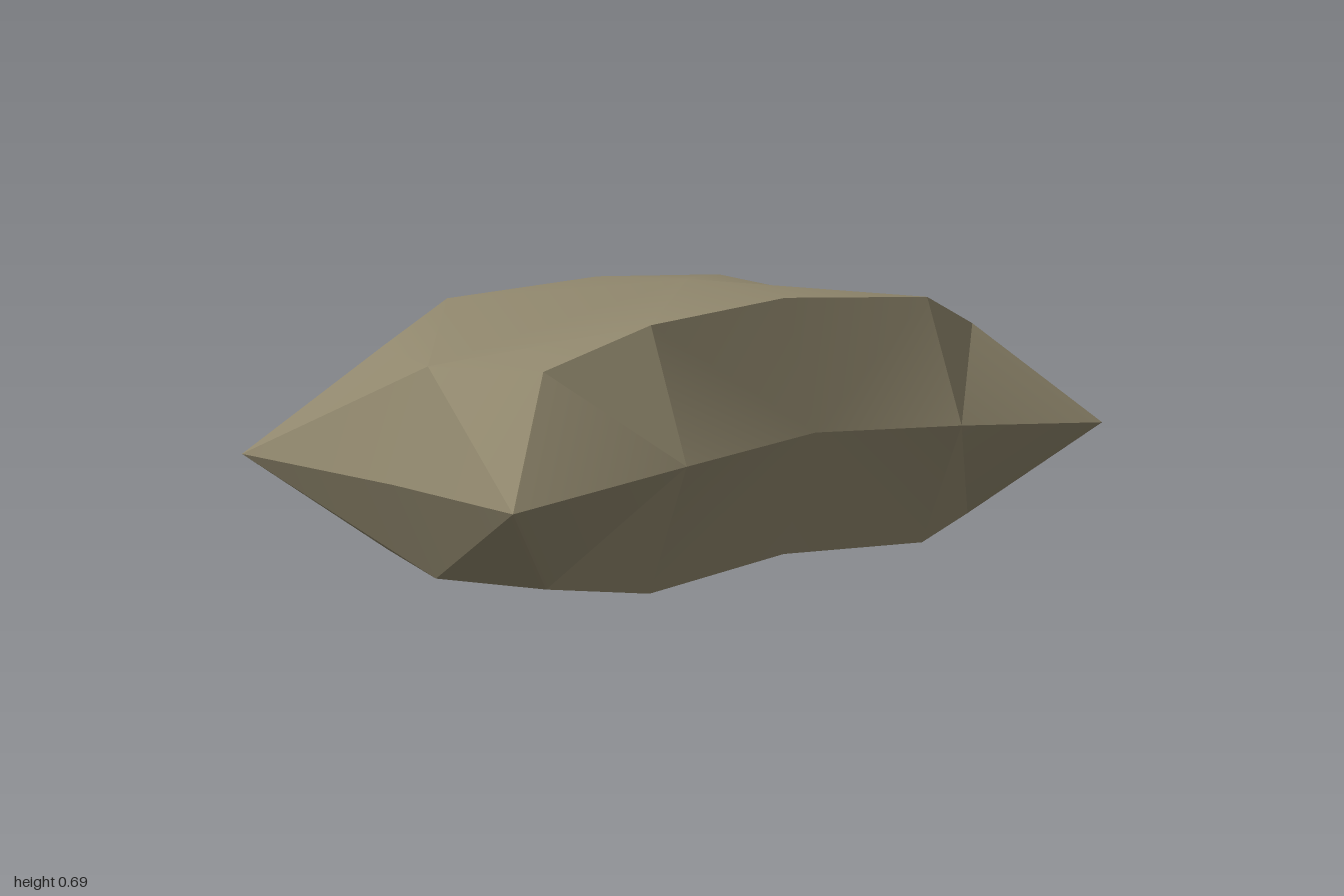
import * as THREE from 'three';
import { toCreasedNormals } from 'three/addons/utils/BufferGeometryUtils.js';

// One quarter (+x, +z) of each outline, running from the front middle to the side middle
const seam = [[0, 0.35, 0.47], [0.47, 0.325, 0.523], [1, 0.282, 0.545], [0.93, 0.267, 0]];
const topRim = [[0, 0.673, 0.36], [0.47, 0.645, 0.397], [0.73, 0.55, 0.318], [0.825, 0.54, 0]];
const bottomRim = [[0, 0.03, 0.36], [0.47, 0.002, 0.39], [0.725, 0.037, 0.316], [0.81, 0.025, 0]];

// Builds half a cushion: a fanned cap and sloping sides, mirrored into four quarters
function halfCushion(rim, centreY, up) {
  const centre = [0, centreY, 0];
  const quarter = [
    [centre, rim[0], rim[1]],
    [centre, rim[1], rim[3]],
    [rim[1], rim[2], rim[3]],
  ];
  for (let i = 0; i < 3; i++) {
    quarter.push([rim[i], seam[i], rim[i + 1]], [seam[i], seam[i + 1], rim[i + 1]]);
  }
  const positions = [];
  for (const sx of [1, -1]) {
    for (const sz of [1, -1]) {
      for (const [a, b, c] of quarter) {
        // Each mirroring reverses the corner order
        const corners = sx * sz * up > 0 ? [a, b, c] : [a, c, b];
        for (const [x, y, z] of corners) positions.push(x * sx, y, z * sz);
      }
    }
  }
  return positions;
}

export function createModel() {
  const fabric = new THREE.MeshStandardMaterial({ color: 0x8f866c });
  fabric.name = 'khaki fabric';

  const geometry = new THREE.BufferGeometry();
  const positions = [...halfCushion(topRim, 0.693, 1), ...halfCushion(bottomRim, 0.008, -1)];
  geometry.setAttribute('position', new THREE.Float32BufferAttribute(positions, 3));

  // Soft panels, sharp seam and rims
  const cushion = new THREE.Mesh(toCreasedNormals(geometry, 0.4), fabric);
  cushion.name = 'cushion';

  const model = new THREE.Group();
  model.name = 'pillow';
  model.add(cushion);
  return model;
}
